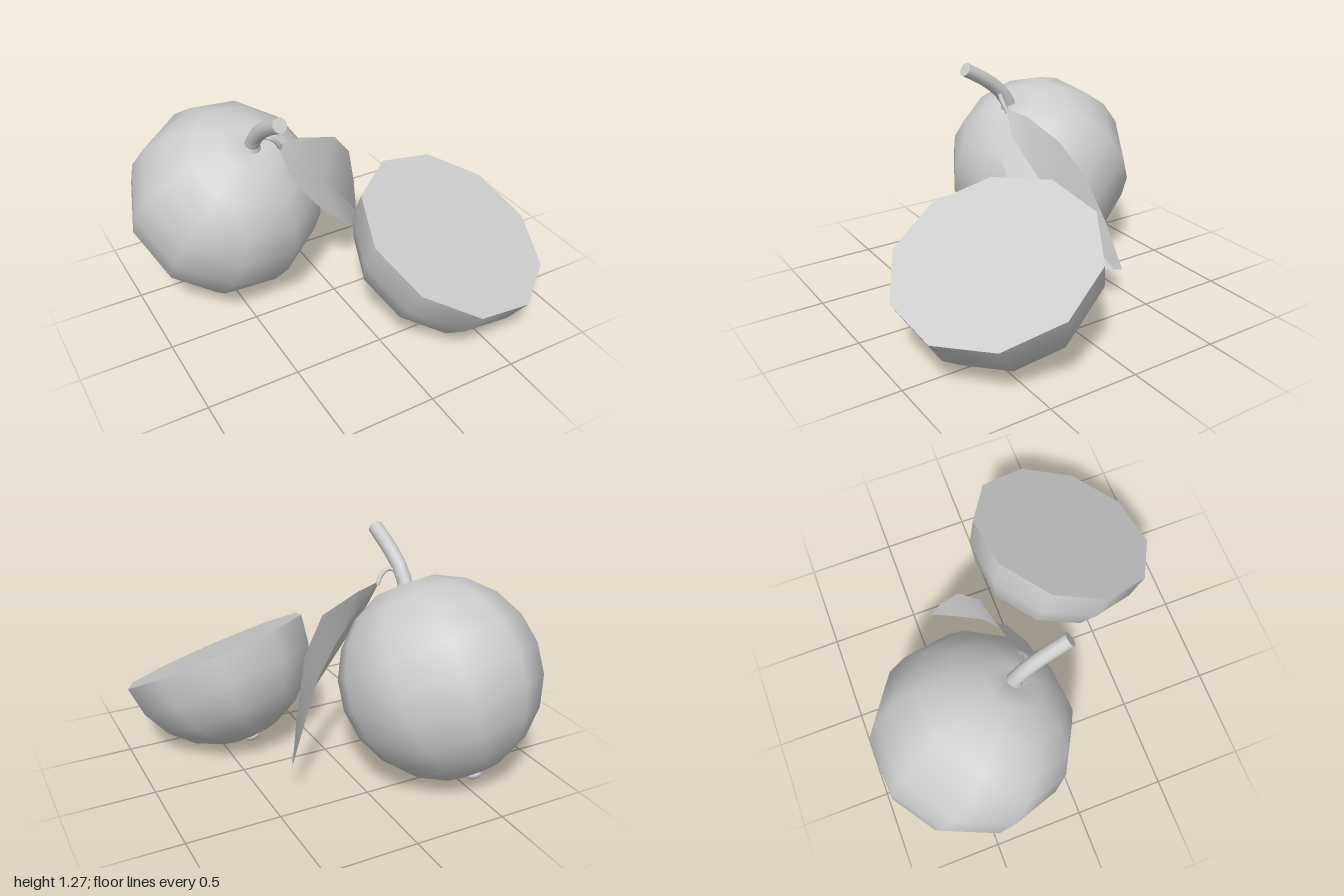
import * as THREE from 'three';

const R = 0.545;
const V = (x, y, z) => new THREE.Vector3(x, y, z);

export function createModel() {
  const model = new THREE.Group();
  const skin = new THREE.MeshStandardMaterial({ color: 0xcccccc, side: THREE.DoubleSide });
  skin.name = 'pale grey';

  const add = (parent, name, geometry) => {
    const mesh = new THREE.Mesh(geometry, skin);
    mesh.name = name;
    parent.add(mesh);
    return mesh;
  };

  // Ten-sided peel, turned from the bottom pole up to the given ring
  const peel = (rings, dimple) => {
    const points = [];
    for (let i = 0; i <= rings; i++) {
      const a = -Math.PI / 2 + (i * Math.PI) / 10;
      points.push(new THREE.Vector2(Math.max(0, R * Math.cos(a)), R * Math.sin(a)));
    }
    if (dimple) {
      points.splice(rings, 1, new THREE.Vector2(0.055, 0.525), new THREE.Vector2(0, 0.5));
    }
    return new THREE.LatheGeometry(points, 10, Math.PI / 2);
  };

  // Group whose y axis follows the fruit's core and x axis its first seam
  const fruit = (name, centre, axis, seam) => {
    const y = axis.clone().normalize();
    const x = seam.clone().addScaledVector(y, -seam.dot(y)).normalize();
    const group = new THREE.Group();
    group.name = name;
    group.quaternion.setFromRotationMatrix(
      new THREE.Matrix4().makeBasis(x, y, x.clone().cross(y)));
    group.position.copy(centre);
    model.add(group);
    const nub = add(group, 'blossomEnd', new THREE.SphereGeometry(0.045, 10, 6));
    nub.scale.y = 0.6;
    nub.position.y = -R;
    return group;
  };

  // Whole fruit
  const whole = fruit('wholeFruit', V(-0.46, 0.54, -0.43), V(0.13, 0.85, 0.51), V(1, 0, 0));
  add(whole, 'wholePeel', peel(10, true));
  const collar = add(whole, 'stemCollar', new THREE.CylinderGeometry(0.033, 0.06, 0.04, 10));
  collar.position.y = 0.52;

  // Cut half
  const half = fruit('halfFruit', V(0.47, 0.533, 0.465), V(0.26, 1, 0.453), V(0.53, -0.113, -0.055));
  add(half, 'halfPeel', peel(5, false));
  add(half, 'cutFace', new THREE.CircleGeometry(R, 10).rotateX(-Math.PI / 2));

  // Bent stem with a flat end
  const stemCurve = new THREE.CatmullRomCurve3([
    V(-0.395, 0.96, -0.185), V(-0.39, 1.06, -0.125), V(-0.38, 1.15, -0.02), V(-0.37, 1.235, 0.125)]);
  add(model, 'stem', new THREE.TubeGeometry(stemCurve, 6, 0.04, 10));
  const end = add(model, 'stemEnd', new THREE.CircleGeometry(0.04, 10));
  end.position.copy(stemCurve.getPoint(1));
  end.lookAt(end.position.clone().add(stemCurve.getTangent(1)));

  // Thin leaf stalk
  const stalk = new THREE.CatmullRomCurve3([
    V(-0.385, 1.05, -0.12), V(-0.34, 1.06, -0.08), V(-0.3, 1.03, -0.075), V(-0.27, 0.98, -0.085)]);
  add(model, 'leafStalk', new THREE.TubeGeometry(stalk, 6, 0.013, 6));

  // Folded leaf: upper edge, midrib and lower edge from base to blunt tip
  const base = V(-0.285, 1.0, -0.085);
  const upper = [base, V(-0.13, 0.98, -0.13), V(0.1, 0.9, -0.17),
    V(0.24, 0.73, -0.25), V(0.33, 0.45, -0.34), V(0.39, 0.19, -0.41)];
  const rib = [base, V(-0.18, 0.86, -0.06), V(-0.02, 0.7, -0.1),
    V(0.12, 0.54, -0.16), V(0.25, 0.37, -0.27), V(0.37, 0.19, -0.37)];
  const lower = [base, V(-0.26, 0.84, 0), V(-0.12, 0.64, 0.01),
    V(0.08, 0.42, -0.03), V(0.22, 0.29, -0.15), V(0.36, 0.2, -0.33)];
  const blade = (a, b) => {
    const index = [];
    for (let i = 0; i < a.length - 1; i++) {
      const j = i + a.length;
      index.push(i, j, j + 1, i, j + 1, i + 1);
    }
    const geometry = new THREE.BufferGeometry().setFromPoints([...a, ...b]);
    geometry.setIndex(index);
    geometry.computeVertexNormals();
    return geometry;
  };
  add(model, 'leafUpperBlade', blade(upper, rib));
  add(model, 'leafLowerBlade', blade(rib, lower));

  return model;
}
